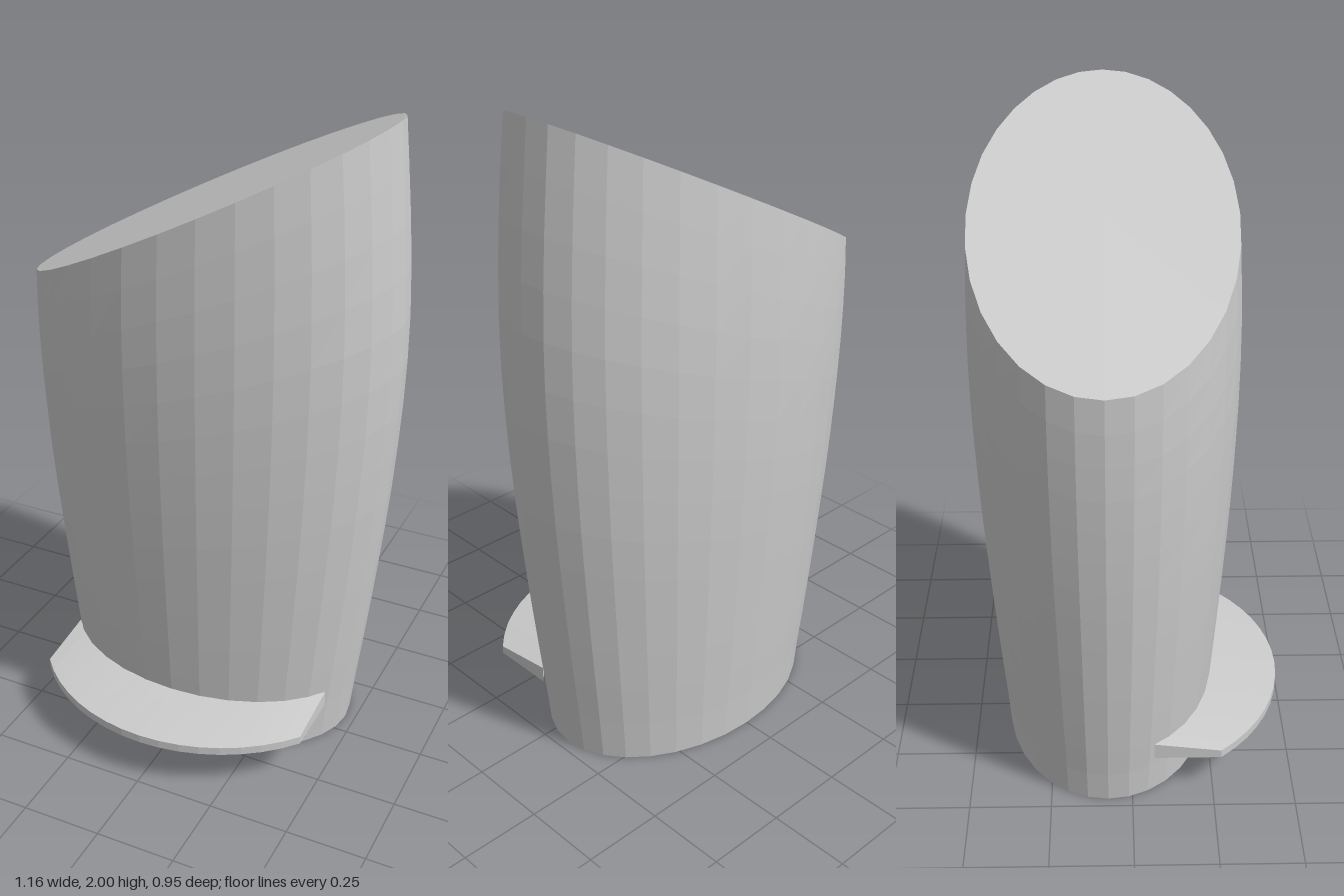
import * as THREE from 'three';

const SIDES = 32, ROWS = 14, CZ = -0.075, RATIO = 0.69;
const mat = () => new THREE.MeshStandardMaterial({ color: 0xcccccc, flatShading: true, side: THREE.DoubleSide });

// half width of the shell by height
const profile = new THREE.SplineCurve([
  [0, 0.468], [0.2, 0.491], [0.4, 0.514], [0.6, 0.535], [0.8, 0.554], [1.0, 0.568],
  [1.2, 0.577], [1.4, 0.578], [1.6, 0.568], [1.8, 0.551], [2.0, 0.53],
].map(([y, r]) => new THREE.Vector2(y, r)));
const radius = y => profile.getPoint(THREE.MathUtils.clamp(y / 2, 0, 1)).y;
const cutHeight = x => 1.43 + (x + 0.58) * 0.5135;

function shellPoint(a, y) {
  const r = radius(y);
  return [r * Math.sin(a), y, CZ + RATIO * r * Math.cos(a)];
}

// height at which the slanted plane meets the shell at angle a
function topAt(a) {
  let y = 1.7;
  for (let i = 0; i < 25; i++) y = cutHeight(radius(y) * Math.sin(a));
  return Math.min(y, 2);
}

function geometry(positions, index) {
  const g = new THREE.BufferGeometry();
  g.setAttribute('position', new THREE.Float32BufferAttribute(positions, 3));
  g.setIndex(index);
  g.computeVertexNormals();
  return g;
}

// elliptical sleeve, open below, each column ending on the slanted cut
function shellGeometry() {
  const p = [], idx = [], n = SIDES + 1;
  for (let j = 0; j <= ROWS; j++)
    for (let i = 0; i <= SIDES; i++) {
      const a = i / SIDES * Math.PI * 2;
      p.push(...shellPoint(a, topAt(a) * j / ROWS));
    }
  for (let j = 0; j < ROWS; j++)
    for (let i = 0; i < SIDES; i++) {
      const a = j * n + i, b = a + 1, c = a + n, d = c + 1;
      idx.push(a, b, d, a, d, c);
    }
  return geometry(p, idx);
}

// flat slanted lid
function lidGeometry() {
  const p = [0, cutHeight(0), CZ], idx = [];
  for (let i = 0; i < SIDES; i++) {
    const a = i / SIDES * Math.PI * 2;
    p.push(...shellPoint(a, topAt(a)));
    idx.push(0, i + 1, (i + 1) % SIDES + 1);
  }
  return geometry(p, idx);
}

// crescent ledge, four-cornered section swept across x
function ledgeGeometry() {
  const p = [], idx = [], steps = 16, half = 0.445;
  const arc = (x, rx, rz) => CZ + rz * Math.sqrt(1 - (x / rx) ** 2);
  const spread = Math.asin(half / 0.57);
  for (let i = 0; i <= steps; i++) {
    const x = 0.57 * Math.sin((i / steps * 2 - 1) * spread);
    const zi = arc(x, 0.495, 0.325), zo = arc(x, 0.57, 0.555);
    p.push(x, 0.14, zi, x, 0.14, zo, x, 0.166, zo, x, 0.192, zi);
  }
  for (let i = 0; i < steps; i++)
    for (let k = 0; k < 4; k++) {
      const a = i * 4 + k, b = i * 4 + (k + 1) % 4;
      idx.push(a, a + 4, b + 4, a, b + 4, b);
    }
  const e = steps * 4;
  idx.push(0, 1, 2, 0, 2, 3, e, e + 2, e + 1, e, e + 3, e + 2);
  return geometry(p, idx);
}

export function createModel() {
  const group = new THREE.Group();
  const add = (name, geo) => {
    const m = new THREE.Mesh(geo, mat());
    m.name = name;
    group.add(m);
    return m;
  };
  add('shell', shellGeometry());
  add('slantedLid', lidGeometry());
  add('frontLedge', ledgeGeometry());
  // small block set in the lower front wall
  add('frontBlock', new THREE.BoxGeometry(0.16, 0.095, 0.025)).position.set(-0.01, 0.0475, 0.247);
  return group;
}
